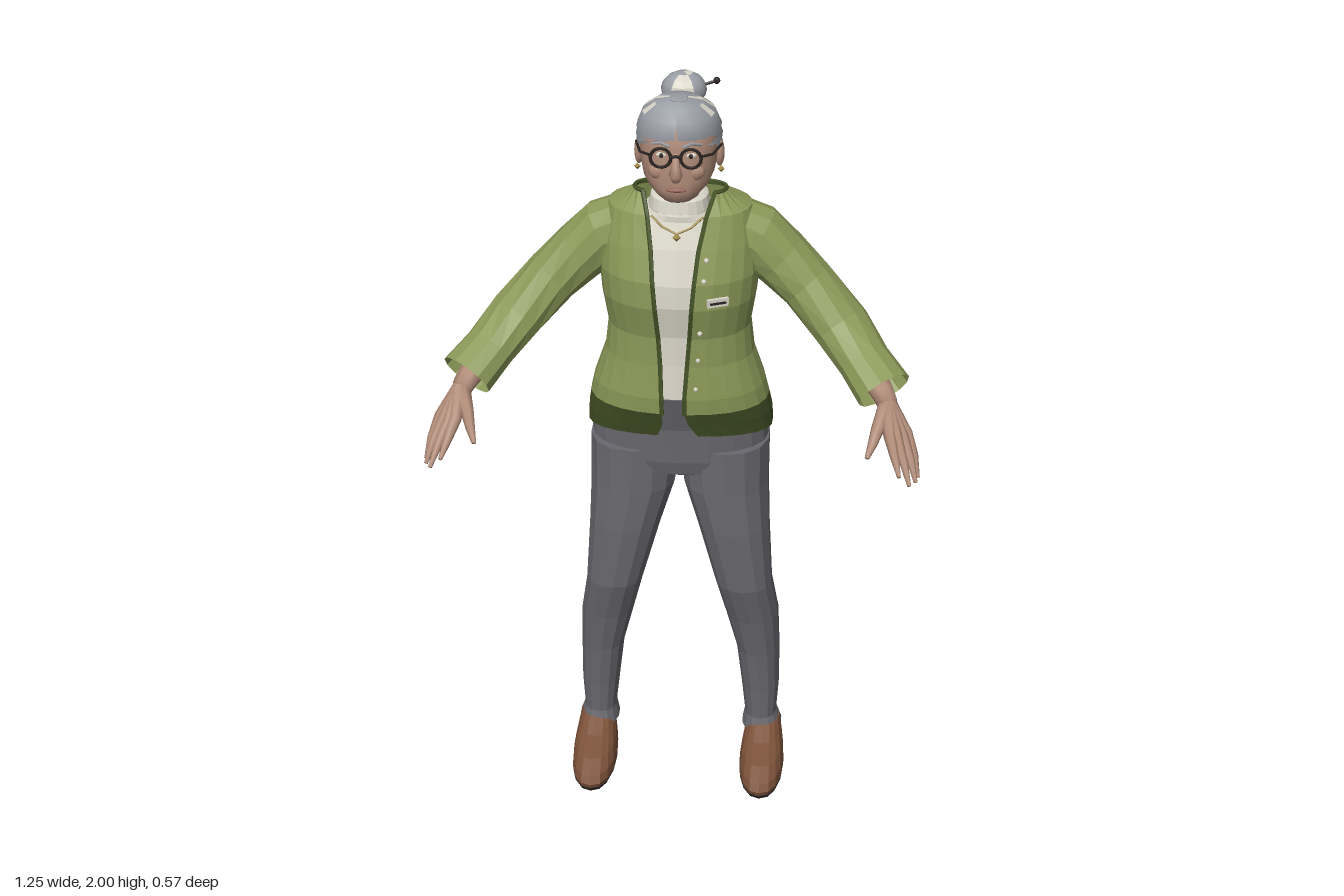
import * as THREE from 'three';

const V = (x, y, z) => new THREE.Vector3(x, y, z);
const TAU = Math.PI * 2;

function paint(name, color, flat = true, side = THREE.DoubleSide) {
  const m = new THREE.MeshStandardMaterial({ color, flatShading: flat, side });
  m.name = name;
  return m;
}

// Horizontal oval cross-section, angle 0 at the front; a..b leaves a gap for open garments.
function ring(y, hw, zf, zb, { n = 20, cx = 0, a = 0, b = TAU, dy = 0, e = 0.88, open = false } = {}) {
  const pts = [], cz = (zf + zb) / 2, d = (zf - zb) / 2;
  const pw = v => Math.sign(v) * Math.abs(v) ** e;
  for (let j = 0; j < n + (open ? 1 : 0); j++) {
    const t = a + (b - a) * j / n;
    pts.push(V(cx + hw * pw(Math.sin(t)), y + dy * Math.cos(t), cz + d * pw(Math.cos(t))));
  }
  return pts;
}

// Skin over rings listed top to bottom (or along a limb); pick() chooses a material per face.
function loft(rings, { open = false, caps = !open, pick = null } = {}) {
  const n = rings[0].length, pos = rings.flat().flatMap(p => [p.x, p.y, p.z]);
  const lists = [[], []];
  const cols = open ? n - 1 : n;
  for (let i = 0; i < rings.length - 1; i++) for (let j = 0; j < cols; j++) {
    const k = (j + 1) % n, a = i * n + j, b = a + n, c = (i + 1) * n + k, d = i * n + k;
    lists[pick ? pick(i, j) : 0].push(a, b, c, a, c, d);
  }
  if (caps) [0, rings.length - 1].forEach((i, end) => {
    const c = rings[i].reduce((s, p) => s.add(p), V(0, 0, 0)).divideScalar(n);
    const ci = pos.length / 3;
    pos.push(c.x, c.y, c.z);
    for (let j = 0; j < n; j++) {
      const p = i * n + j, q = i * n + (j + 1) % n;
      lists[0].push(ci, end ? q : p, end ? p : q);
    }
  });
  const g = new THREE.BufferGeometry();
  g.setAttribute('position', new THREE.Float32BufferAttribute(pos, 3));
  g.setIndex([...lists[0], ...lists[1]]);
  if (pick) {
    g.addGroup(0, lists[0].length, 0);
    g.addGroup(lists[0].length, lists[1].length, 1);
  }
  g.computeVertexNormals();
  return g;
}

// Tapered limb along a path; each radius is a number or [horizontal, vertical].
function limb(path, radii, n = 8, caps = true) {
  const last = path.length - 1;
  const whole = path[last].clone().sub(path[0]).normalize();
  const ref = Math.abs(whole.y) > 0.8 ? V(0, 0, 1) : V(0, 1, 0);
  return loft(path.map((p, i) => {
    const T = path[Math.min(i + 1, last)].clone().sub(path[Math.max(i - 1, 0)]).normalize();
    const U = T.clone().cross(ref).normalize(), W = U.clone().cross(T);
    const r = Array.isArray(radii) ? radii[i] : radii, [ru, rv] = Array.isArray(r) ? r : [r, r];
    return Array.from({ length: n }, (_, j) => p.clone()
      .addScaledVector(U, ru * Math.cos(j / n * TAU)).addScaledVector(W, rv * Math.sin(j / n * TAU)));
  }), { caps });
}

export function createModel() {
  const model = new THREE.Group();
  const green = paint('jacket green', 0x8b9858), hemGreen = paint('hem dark green', 0x465428);
  const grey = paint('trouser grey', 0x68686e), skin = paint('skin', 0xb08b78, false);
  const hair = paint('hair grey', 0x9b9fa6, false), cream = paint('cream', 0xd9d5c8);
  const brown = paint('shoe brown', 0x7b5139), dark = paint('dark', 0x2a2422);
  const gold = paint('gold', 0xa58f4c), lip = paint('lip', 0x94645a);
  const add = (name, geo, mat, x = 0, y = 0, z = 0) => {
    const m = new THREE.Mesh(geo, mat);
    m.name = name;
    m.position.set(x, y, z);
    model.add(m);
    return m;
  };

  // Open jacket: height, half width, front z, back z, right edge x, left edge x, tilt
  const e = 0.88;
  const jacketRing = ([y, hw, zf, zb, xr, xl, dy = 0]) => ring(y, hw, zf, zb, {
    n: 24, open: true, dy, e,
    a: Math.asin((xl / hw) ** (1 / e)), b: TAU - Math.asin((xr / hw) ** (1 / e)),
  });
  const body = [
    [1.735, 0.115, -0.035, -0.2, 0.09, 0.09, 0.018], [1.70, 0.18, -0.005, -0.218, 0.075, 0.072],
    [1.62, 0.2, 0.025, -0.238, 0.064, 0.055], [1.54, 0.203, 0.052, -0.245, 0.058, 0.046],
    [1.47, 0.197, 0.055, -0.242, 0.052, 0.04], [1.38, 0.183, 0.034, -0.235, 0.045, 0.034],
    [1.30, 0.192, 0.034, -0.236, 0.04, 0.028], [1.21, 0.222, 0.042, -0.25, 0.037, 0.022],
    [1.165, 0.232, 0.038, -0.262, 0.036, 0.022],
  ].map(jacketRing);
  const hem = [body[8], ...[
    [1.115, 0.24, 0.022, -0.277, 0.036, 0.03, 0.012], [1.06, 0.242, 0.005, -0.284, 0.05, 0.055, 0.024],
  ].map(jacketRing)];
  add('jacketBody', loft(body, { open: true }), green);
  add('jacketHem', loft(hem, { open: true }), hemGreen);
  add('jacketEdgeLeft', limb(body.map(r => r[0]), 0.006, 5), hemGreen);
  add('jacketEdgeRight', limb(body.map(r => r[24]), 0.006, 5), hemGreen);
  add('jacketNeckline', limb(body[0], 0.006, 5), hemGreen);

  // Shirt, roll collar and necklace
  add('shirt', loft([
    ring(1.735, 0.066, -0.022, -0.15), ring(1.70, 0.076, -0.008, -0.165), ring(1.685, 0.1, -0.008, -0.19),
    ring(1.62, 0.17, 0.016, -0.22), ring(1.53, 0.18, 0.042, -0.23), ring(1.47, 0.18, 0.045, -0.228),
    ring(1.38, 0.17, 0.026, -0.22), ring(1.30, 0.178, 0.026, -0.22), ring(1.2, 0.2, 0.032, -0.235),
  ]), cream);
  add('collarRoll', loft([
    ring(1.74, 0.062, -0.026, -0.145), ring(1.735, 0.072, -0.016, -0.156),
    ring(1.705, 0.078, -0.01, -0.165), ring(1.695, 0.07, -0.02, -0.16),
  ]), cream);
  add('necklace', limb([V(-0.065, 1.705, -0.005), V(-0.035, 1.68, 0.008), V(0, 1.665, 0.014),
    V(0.035, 1.68, 0.008), V(0.065, 1.705, -0.005)], 0.003, 5), gold);
  add('pendant', new THREE.OctahedronGeometry(0.011), gold, 0, 1.657, 0.017);

  // Name plate and buttons
  const plate = add('badge', new THREE.BoxGeometry(0.056, 0.022, 0.008), cream, 0.105, 1.495, 0.045);
  const strip = add('badgeStripe', new THREE.BoxGeometry(0.042, 0.005, 0.004), dark, 0.107, 1.495, 0.05);
  plate.rotation.y = strip.rotation.y = 0.4;
  [[1.60, 0.075, 0.025], [1.55, 0.07, 0.042], [1.40, 0.06, 0.034], [1.32, 0.055, 0.028], [1.24, 0.05, 0.034]]
    .forEach(([y, x, z]) => add('button', new THREE.SphereGeometry(0.007, 6, 4), cream, x, y, z));

  // Trouser seat
  add('trouserSeat', loft([
    ring(1.205, 0.19, 0.036, -0.235), ring(1.1, 0.226, 0.006, -0.268), ring(1.0, 0.234, 0, -0.268),
    ring(0.96, 0.225, -0.01, -0.25), ring(0.93, 0.09, -0.06, -0.19),
  ]), grey);

  for (const s of [1, -1]) {
    // Trouser legs: height, inner x, outer x, front z, back z
    add('trouserLeg', loft([
      [1.03, 0, 0.236, 0, -0.268], [0.9, 0.01, 0.236, 0, -0.235], [0.78, 0.048, 0.24, 0, -0.203],
      [0.6, 0.098, 0.25, -0.01, -0.174], [0.48, 0.126, 0.268, -0.042, -0.203], [0.36, 0.155, 0.272, -0.065, -0.216],
      [0.23, 0.17, 0.273, -0.08, -0.215], [0.14, 0.18, 0.267, -0.086, -0.204], [0.1, 0.172, 0.282, -0.074, -0.21],
    ].map(([y, a, b, zf, zb]) => ring(y, (b - a) / 2, zf, zb, { n: 14, cx: s * (a + b) / 2 }))), grey);

    // Shoes
    const o = { n: 16, cx: s * 0.232 };
    add('shoe', loft([
      ring(0.122, 0.043, -0.082, -0.198, o), ring(0.095, 0.05, -0.03, -0.204, o), ring(0.07, 0.056, 0.045, -0.206, o),
      ring(0.045, 0.06, 0.092, -0.206, o), ring(0.025, 0.061, 0.105, -0.206, o), ring(0.012, 0.058, 0.1, -0.205, o),
    ]), brown);
    add('sole', loft([ring(0.012, 0.06, 0.104, -0.207, o), ring(0, 0.055, 0.095, -0.2, o)]), dark);

    // Sleeve with turned cuff
    const P = (x, y, z) => V(s * x, y, z);
    add('sleeve', limb([P(0.1, 1.65, -0.115), P(0.19, 1.605, -0.118), P(0.255, 1.55, -0.112), P(0.325, 1.487, -0.092),
      P(0.415, 1.395, -0.045), P(0.475, 1.335, 0.025), P(0.528, 1.285, 0.085)],
    [[0.08, 0.075], [0.082, 0.086], [0.08, 0.076], [0.078, 0.069], [0.08, 0.066], [0.07, 0.06], [0.076, 0.064]], 12, false), green);
    add('cuffLining', limb([P(0.505, 1.306, 0.06), P(0.508, 1.303, 0.063)], [[0.07, 0.058], [0.07, 0.058]], 12), hemGreen);

    // Hand: each finger runs from the wrist so that the roots form the palm
    const wrist = P(0.538, 1.262, 0.112);
    add('wrist', limb([P(0.495, 1.31, 0.045), P(0.525, 1.28, 0.09), wrist], [0.036, 0.03, 0.027]), skin);
    [
      [[0.546, 1.212, 0.19], [0.56, 1.178, 0.24], [0.572, 1.15, 0.282]],
      [[0.563, 1.205, 0.187], [0.583, 1.165, 0.24], [0.598, 1.128, 0.285]],
      [[0.578, 1.202, 0.172], [0.6, 1.16, 0.215], [0.614, 1.118, 0.25]],
      [[0.588, 1.202, 0.155], [0.608, 1.158, 0.185], [0.62, 1.11, 0.212]],
    ].forEach(f => add('finger', limb([wrist, ...f.map(p => P(...p))], [0.024, 0.016, 0.011, 0.005], 7), skin));
    add('thumb', limb([wrist, P(0.515, 1.225, 0.175), P(0.503, 1.2, 0.212), P(0.491, 1.178, 0.243)],
      [0.024, 0.017, 0.012, 0.006], 7), skin);

    // Ear, earring, eye, brow and cheek
    add('ear', new THREE.SphereGeometry(1, 10, 8), skin, s * 0.1, 1.85, -0.075).scale.set(0.012, 0.036, 0.022);
    add('earring', new THREE.OctahedronGeometry(0.009), gold, s * 0.104, 1.808, -0.07);
    add('eye', new THREE.SphereGeometry(1, 10, 6), cream, s * 0.036, 1.883, 0.025).scale.set(0.014, 0.007, 0.009);
    add('pupil', new THREE.SphereGeometry(0.006, 8, 6), dark, s * 0.036, 1.883, 0.031);
    add('brow', limb([P(0.016, 1.908, 0.034), P(0.038, 1.915, 0.028), P(0.06, 1.907, 0.014)], 0.004, 5), hair);
    add('cheek', new THREE.SphereGeometry(1, 10, 8), skin, s * 0.042, 1.835, 0.012).scale.set(0.028, 0.024, 0.018);

    // Spectacles
    add('spectacleRim', new THREE.TorusGeometry(0.025, 0.0042, 6, 18), dark, s * 0.037, 1.882, 0.043);
    add('spectacleArm', limb([P(0.062, 1.888, 0.042), P(0.09, 1.885, 0.015), P(0.106, 1.875, -0.07)], 0.0035, 5), dark);
  }
  add('spectacleBridge', limb([V(-0.013, 1.885, 0.045), V(0, 1.89, 0.05), V(0.013, 1.885, 0.045)], 0.004, 5), dark);

  // Head and neck
  add('head', loft([
    ring(1.975, 0.075, 0.008, -0.14, { e: 1 }), ring(1.93, 0.096, 0.027, -0.165), ring(1.895, 0.098, 0.032, -0.17),
    ring(1.85, 0.096, 0.035, -0.168), ring(1.81, 0.088, 0.036, -0.155), ring(1.785, 0.075, 0.035, -0.14),
    ring(1.763, 0.055, 0.03, -0.13), ring(1.748, 0.045, 0.01, -0.13), ring(1.738, 0.052, -0.03, -0.135),
    ring(1.69, 0.055, -0.03, -0.14),
  ]), skin);
  add('nose', limb([V(0, 1.888, 0.03), V(0, 1.858, 0.04), V(0, 1.838, 0.045), V(0, 1.822, 0.036)],
    [0.008, 0.011, 0.017, 0.012], 8), skin);
  add('lips', new THREE.SphereGeometry(1, 10, 6), lip, 0, 1.793, 0.034).scale.set(0.026, 0.006, 0.008);

  // Hair: height, half width, front z, back z, angle of the face opening
  const hairCap = loft([
    [2.0, 0.02, -0.03, -0.08, 0], [1.99, 0.058, 0.004, -0.122, 0], [1.965, 0.09, 0.026, -0.155, 0],
    [1.925, 0.105, 0.036, -0.18, 0.03], [1.9, 0.107, 0.034, -0.188, 0.85], [1.87, 0.107, 0.024, -0.192, 1.4],
    [1.82, 0.1, 0.01, -0.188, 1.85], [1.765, 0.078, 0, -0.156, 2.1],
  ].map(([y, hw, zf, zb, a]) => ring(y, hw, zf, zb, { n: 22, a, b: TAU - a, open: true, e: 0.94 })),
  { open: true, pick: (i, j) => ((j === 6 || j === 15) && i !== 3) || (i === 1 && (j === 4 || j === 17)) || (i > 3 && j === 10) ? 1 : 0 });
  add('hair', hairCap, [hair, cream]);
  add('hairCrown', loft([ring(2.0, 0.021, -0.029, -0.081), ring(1.996, 0.03, -0.02, -0.09)]), hair);

  // Bun with pale strands and a pin
  const bun = new THREE.SphereGeometry(1, 12, 8);
  const idx = bun.index.count / 3;
  bun.clearGroups();
  for (let f = 0; f < idx; f += 2) bun.addGroup(f * 3, 6, Math.floor(f / 4) % 3 === 1 ? 1 : 0);
  add('bun', bun, [hair, cream], 0, 1.955, -0.22).scale.set(0.058, 0.046, 0.05);
  add('hairPin', limb([V(-0.066, 1.925, -0.22), V(0.08, 1.978, -0.22)], 0.004, 5), dark);
  add('pinKnob', new THREE.SphereGeometry(0.009, 8, 6), dark, 0.082, 1.979, -0.22);

  return model;
}
